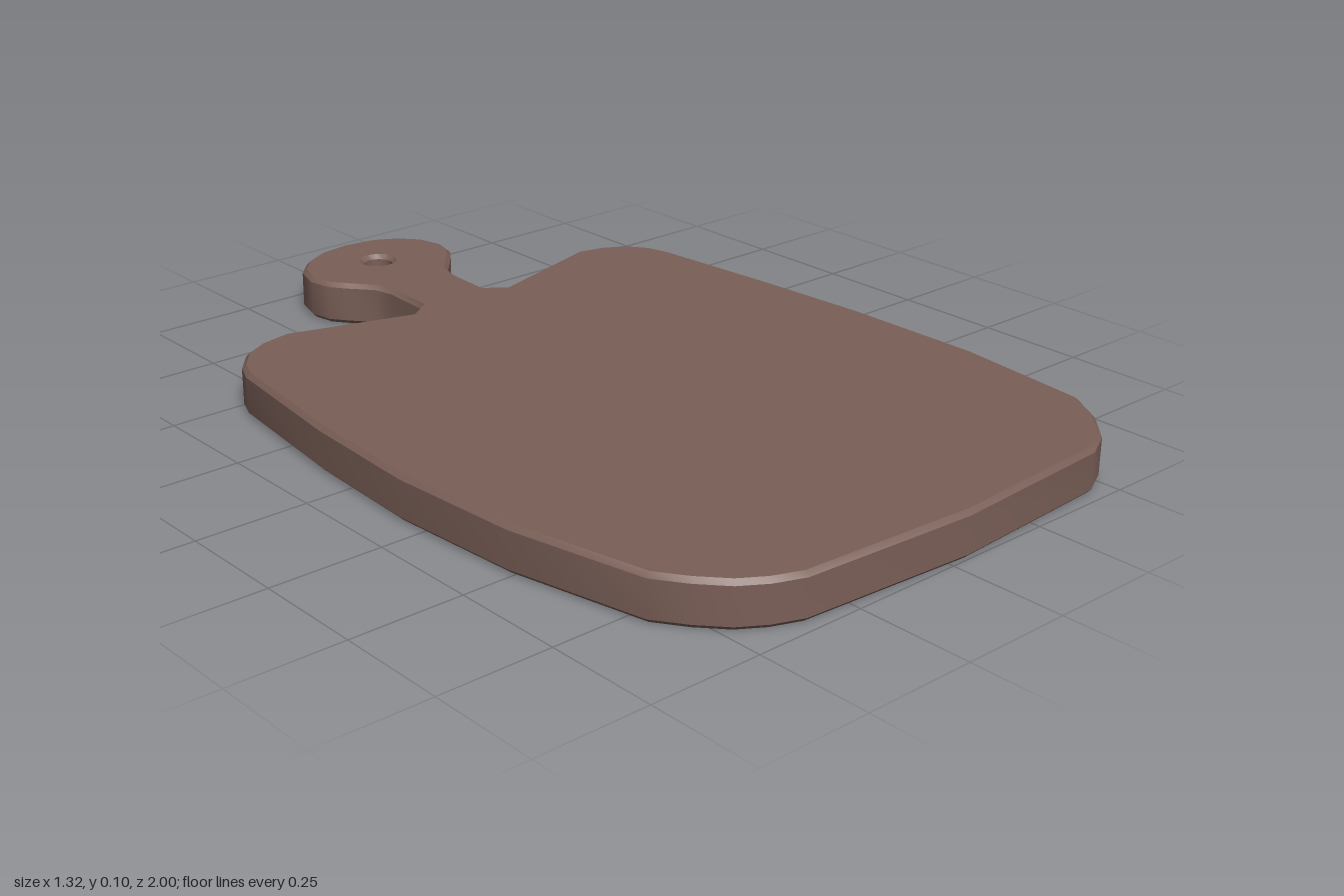
import * as THREE from 'three';
import { toCreasedNormals } from 'three/addons/utils/BufferGeometryUtils.js';

export function createModel() {
  const group = new THREE.Group();
  group.name = 'cuttingBoard';
  const wood = new THREE.MeshStandardMaterial({ color: 0x7a5f57 });
  wood.name = 'brown wood';

  // Slightly lopsided outline as [x, z], starting at the front edge
  const outline = [
    [0.04, 1], [0.44, 0.975], [0.51, 0.94], [0.58, 0.87], [0.626, 0.795],
    [0.66, 0.48], [0.657, 0.15], [0.638, -0.13], [0.61, -0.435],
    [0.595, -0.49], [0.56, -0.54], [0.505, -0.57], [0.44, -0.585],
    // neck and round handle
    [0.15, -0.5], [0.108, -0.533], [0.113, -0.65], [0.13, -0.7],
    [0.18, -0.755], [0.214, -0.8], [0.225, -0.845], [0.21, -0.91],
    [0.17, -0.957], [0.114, -0.988], [0.035, -1], [-0.045, -0.988],
    [-0.103, -0.957], [-0.147, -0.91], [-0.165, -0.845], [-0.155, -0.79],
    [-0.125, -0.75], [-0.083, -0.7], [-0.072, -0.655], [-0.077, -0.533],
    // other shoulder and side
    [-0.125, -0.5], [-0.41, -0.585], [-0.485, -0.57], [-0.54, -0.54],
    [-0.585, -0.485], [-0.605, -0.435], [-0.645, -0.105], [-0.66, 0.185],
    [-0.64, 0.49], [-0.575, 0.795], [-0.53, 0.86], [-0.48, 0.915],
    [-0.425, 0.95], [-0.36, 0.975],
  ];
  const shape = new THREE.Shape(outline.map(([x, z]) => new THREE.Vector2(x, -z)));

  // Hanging hole
  const bevel = 0.01;
  const hole = new THREE.Path();
  hole.absarc(0.03, 0.848, 0.035, 0, Math.PI * 2, true);
  shape.holes.push(hole);

  // Board with softened rims
  const geometry = new THREE.ExtrudeGeometry(shape, {
    depth: 0.1 - 2 * bevel,
    curveSegments: 12,
    bevelThickness: bevel,
    bevelSize: bevel,
    bevelOffset: -bevel,
    bevelSegments: 1,
  });
  geometry.rotateX(-Math.PI / 2);
  geometry.translate(0, bevel, 0);

  const board = new THREE.Mesh(toCreasedNormals(geometry, 0.72), wood);
  board.name = 'boardWithHandle';
  group.add(board);
  return group;
}
